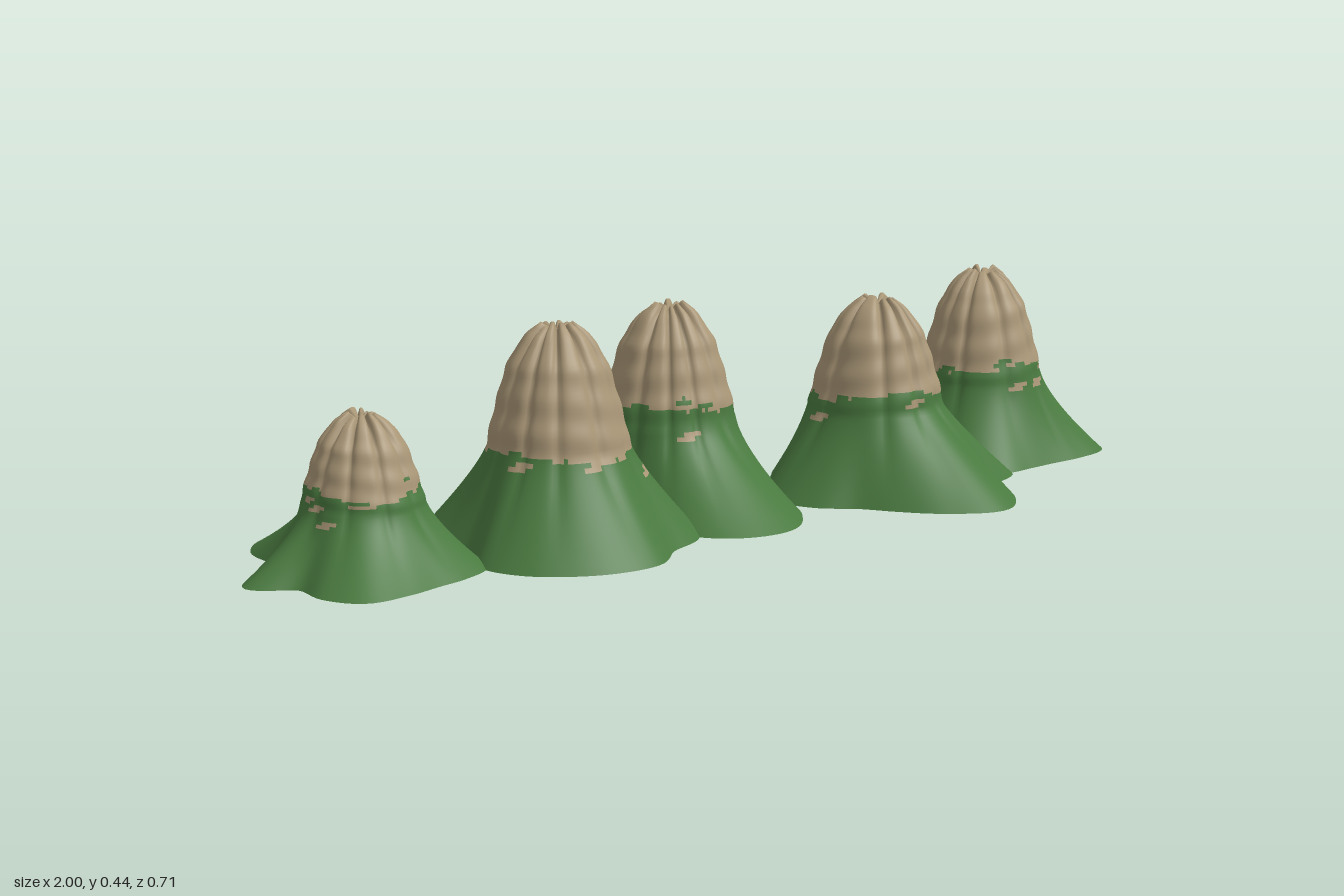
import * as THREE from 'three';

const grass = new THREE.MeshStandardMaterial({ color: 0x4a7a40 });
grass.name = 'grass green';
const rock = new THREE.MeshStandardMaterial({ color: 0xab9878 });
rock.name = 'rock tan';

const COLS = 120, ROWS = 48, RIM = 0.018;

// foot: radius of the base outline every 20 degrees, from +x towards +z (hundredths)
// flare: how hollow the lower slope is, r: rock radius at the grass border
const PEAKS = [
  { x: -0.757, z: -0.065, h: 0.31, split: 0.168, r: 0.112, folds: 10, patch: 0.02, flare: 1.4,
    foot: [20, 20.5, 22.5, 21, 20, 21.5, 24, 22, 18.5, 24.3, 20, 16.5, 24, 28.5, 28.5, 27, 18.5, 17.5] },
  { x: -0.37, z: -0.006, h: 0.44, split: 0.198, r: 0.135, folds: 10, patch: 0.03, flare: 1.2,
    foot: [24, 27, 26, 23.5, 26.5, 26.7, 26.3, 26, 24.5, 20.5, 23, 27, 27.7, 25.5, 25.5, 24, 24, 24] },
  { x: -0.04, z: -0.105, h: 0.425, split: 0.222, r: 0.134, folds: 11, patch: 0.015, flare: 1.4,
    foot: [22.5, 21.5, 24, 28.2, 32.5, 31.5, 26.5, 20, 18, 20, 23, 25, 25.5, 25.4, 25.4, 26.5, 27.3, 25] },
  { x: 0.38, z: 0.032, h: 0.41, split: 0.217, r: 0.137, folds: 10, patch: 0.03, flare: 1.15,
    foot: [23.5, 30, 25, 29.5, 32.8, 28, 23.5, 21.5, 24, 25.5, 24.5, 20.5, 22.5, 24.5, 26.5, 24, 23, 24] },
  { x: 0.755, z: -0.063, h: 0.415, split: 0.212, r: 0.128, folds: 11, patch: 0.12, flare: 1.4,
    foot: [24.5, 25, 26.3, 22.5, 20, 20.3, 23, 23.5, 21.5, 23.5, 27, 29.5, 27.7, 24.7, 24.7, 23.5, 21.5, 22] },
];

// rock dome: [height share, radius share]
const DOME = [[0.43, 1], [0.55, 0.92], [0.68, 0.81], [0.8, 0.7], [0.89, 0.55], [0.95, 0.42], [1, 0.22]];

function domeRadius(t) {
  const k = Math.max(1, DOME.findIndex(d => t <= d[0]));
  const [t0, r0] = DOME[k - 1], [t1, r1] = DOME[k];
  return r0 + (r1 - r0) * (t - t0) / (t1 - t0);
}

// repeatable value between 0 and 1 for a grid cell
function hash(a, b, c) {
  const s = Math.sin(a * 127.1 + b * 311.7 + c * 74.7) * 43758.5453;
  return s - Math.floor(s);
}

// smooth closed curve through the outline radii
function footRadius(foot, a) {
  const n = foot.length, u = a / (2 * Math.PI) * n, i = Math.floor(u), f = u - i;
  const p = k => foot[(i + k + n) % n] / 100;
  const [p0, p1, p2, p3] = [p(-1), p(0), p(1), p(2)];
  return p1 + 0.5 * f * (p2 - p0 + f * (2 * p0 - 5 * p1 + 4 * p2 - p3 + f * (3 * (p1 - p2) + p3 - p0)));
}

function buildPeak(peak, id) {
  const pos = [], green = [], tan = [], base = [];

  // slopes: spreading foot below, pleated dome above
  for (let j = 0; j <= ROWS; j++) {
    const t = j / ROWS;
    for (let i = 0; i < COLS; i++) {
      const a = i / COLS * 2 * Math.PI;
      const warp = a + 0.12 * Math.sin(2 * a + id) + 0.08 * Math.sin(3 * a + 2 * id);
      const groove = (1 - Math.abs(Math.sin(warp * peak.folds / 2 + id))) ** 2;
      let r;
      if (t < 0.43) {
        const s = 1 - t / 0.43;
        r = peak.r + (footRadius(peak.foot, a) - peak.r) * s ** peak.flare;
      } else {
        r = peak.r * domeRadius(t) * (1 + 0.012 * Math.sin(t * 42 + 2 * Math.sin(a + id)));
      }
      r *= 1 - groove * (0.02 + 0.18 * t * t) * Math.min(1, t * 3);
      const jag = Math.max(0, (t - 0.75) / 0.25);
      const lobe = Math.floor((warp * peak.folds / 2 + id) / Math.PI);
      const drop = jag * (0.022 * groove + 0.014 * hash(lobe % peak.folds, id, 1) * (1 - groove));
      pos.push(peak.x + r * Math.cos(a), RIM + (peak.h - RIM) * t - drop, peak.z + r * Math.sin(a));
    }
  }

  // blocky border between grass and rock, with stray patches mostly below it
  const isRock = (i, j) => {
    const y = RIM + (peak.h - RIM) * (j + 0.5) / ROWS;
    const edge = peak.split + 0.012 * (hash(Math.floor(i / 4), id, 3) - 0.5)
      + 0.01 * Math.sin(i / COLS * 4 * Math.PI + id);
    const stray = y > edge - 0.06 && y < edge + 0.025
      && hash(Math.floor((i + 2 * (j % 2)) / 5), Math.floor(j / 2), id + 7) < peak.patch;
    return (y > edge) !== stray;
  };
  for (let j = 0; j < ROWS; j++) {
    for (let i = 0; i < COLS; i++) {
      const n = (i + 1) % COLS, p = j * COLS;
      const a = p + i, b = p + n, c = a + COLS, d = b + COLS;
      (isRock(i, j) ? tan : green).push(a, c, b, b, c, d);
    }
  }

  // sunken tip and shallow underside
  const tip = pos.length / 3, under = tip + 1, last = ROWS * COLS;
  pos.push(peak.x, peak.h - 0.025, peak.z, peak.x, 0, peak.z);
  for (let i = 0; i < COLS; i++) {
    const n = (i + 1) % COLS;
    tan.push(last + i, tip, last + n);
    base.push(under, i, n);
  }

  // the rim keeps the normals of the slopes, so the underside blends softly into them
  const geo = new THREE.BufferGeometry();
  geo.setAttribute('position', new THREE.Float32BufferAttribute(pos, 3));
  geo.setIndex([...green, ...tan]);
  geo.computeVertexNormals();
  geo.attributes.normal.setXYZ(under, 0, -1, 0);
  geo.setIndex([...base, ...green, ...tan]);
  geo.addGroup(0, base.length + green.length, 0);
  geo.addGroup(base.length + green.length, tan.length, 1);
  return geo;
}

export function createModel() {
  const model = new THREE.Group();
  model.name = 'mountainRange';
  PEAKS.forEach((peak, k) => {
    const mesh = new THREE.Mesh(buildPeak(peak, k + 1), [grass, rock]);
    mesh.name = 'mountain' + (k + 1);
    model.add(mesh);
  });
  return model;
}
